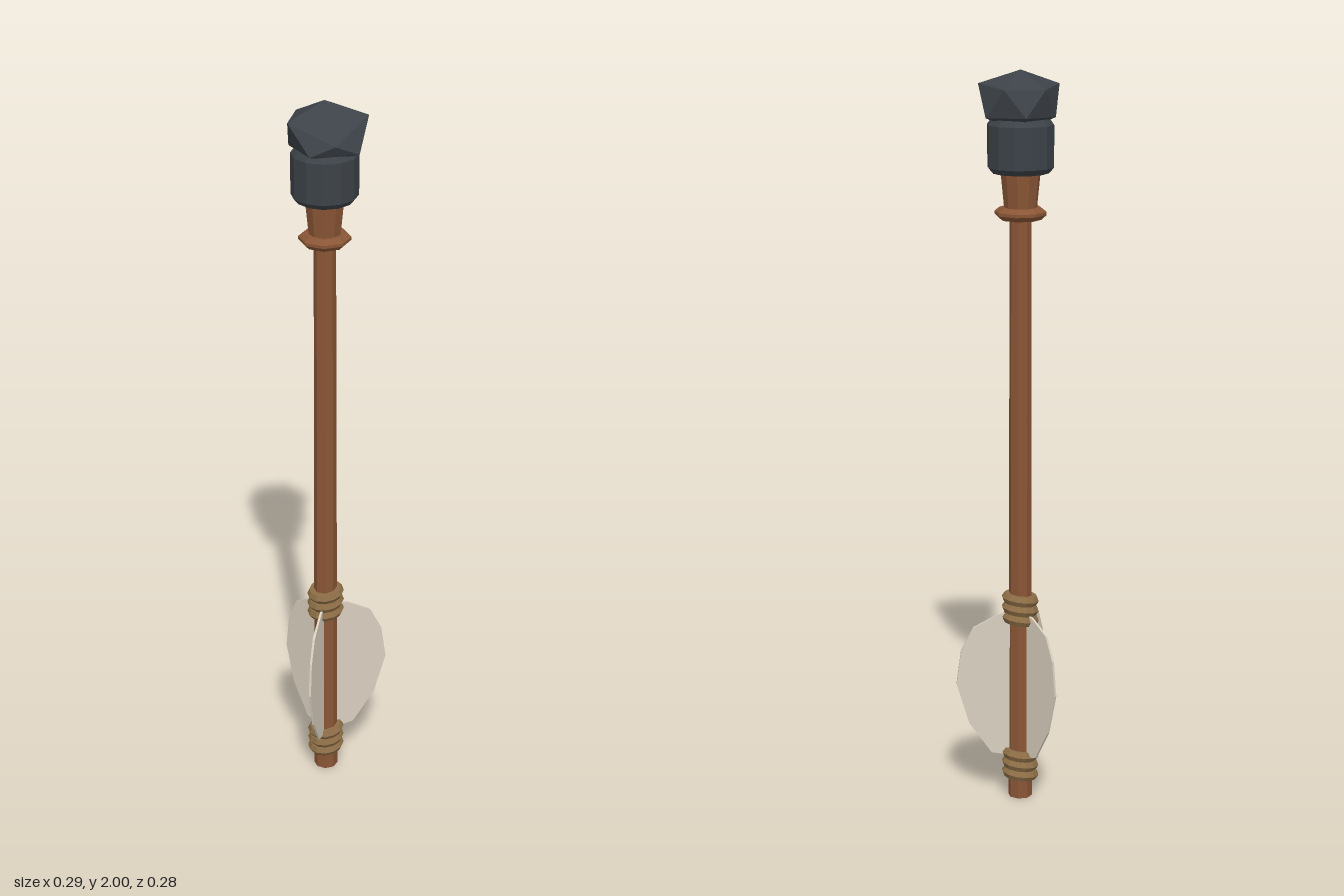
import * as THREE from 'three';

const flat = (color, name, side = THREE.FrontSide) => {
  const m = new THREE.MeshStandardMaterial({ color, flatShading: true, side });
  m.name = name;
  return m;
};

// Faceted stone: apex, two staggered rings of five corners, bottom point
function stoneGeometry() {
  const upper = [[0.112, 1.963], [0.091, 1.955], [0.093, 1.955], [0.112, 1.96], [0.103, 1.91]];
  const lower = [[0.1, 1.88], [0.102, 1.885], [0.092, 1.88], [0.108, 1.883], [0.112, 1.88]];
  const pos = [0, 2, 0];
  const ring = (pts, offset) => pts.forEach(([r, y], i) => {
    const a = THREE.MathUtils.degToRad(72 * i + offset);
    pos.push(r * Math.cos(a), y, -r * Math.sin(a));
  });
  ring(upper, 0);
  ring(lower, 36);
  pos.push(0, 1.84, 0);
  const index = [];
  for (let i = 0; i < 5; i++) {
    const u = 1 + i, u2 = 1 + (i + 1) % 5, l = u + 5, l2 = u2 + 5;
    index.push(0, u, u2, u, l, u2, l, l2, u2, 11, l2, l);
  }
  const g = new THREE.BufferGeometry();
  g.setAttribute('position', new THREE.Float32BufferAttribute(pos, 3));
  g.setIndex(index);
  const out = g.toNonIndexed();
  out.computeVertexNormals();
  return out;
}

export function createModel() {
  const wood = flat(0x8a5636, 'wood');
  const stone = flat(0x3c4248, 'dark stone');
  const cord = flat(0x8c6d46, 'cord');
  const vane = flat(0xd9cfbf, 'feather', THREE.DoubleSide);

  const model = new THREE.Group();
  model.name = 'arrow';
  const axis = new THREE.Group();
  axis.name = 'arrowParts';
  axis.position.set(-0.03, 0, -0.03);
  model.add(axis);

  const add = (geometry, material, name) => {
    const mesh = new THREE.Mesh(geometry, material);
    mesh.name = name;
    axis.add(mesh);
    return mesh;
  };
  const lathe = (points, sides) =>
    new THREE.LatheGeometry(points.map(p => new THREE.Vector2(...p)), sides);

  // Shaft, guard ring and flared socket
  add(new THREE.CylinderGeometry(0.029, 0.033, 1.65, 8), wood, 'shaft').position.y = 0.825;
  add(lathe([[0, 1.613], [0.055, 1.613], [0.069, 1.626], [0.069, 1.634], [0.055, 1.645], [0, 1.645]], 8),
    wood, 'guardRing');
  add(new THREE.CylinderGeometry(0.054, 0.042, 0.12, 10), wood, 'socket').position.y = 1.69;

  // Bevelled collar and blunt stone tip
  add(lathe([[0, 1.735], [0.075, 1.735], [0.088, 1.75], [0.088, 1.86], [0.077, 1.875], [0, 1.875]], 12),
    stone, 'collar');
  add(stoneGeometry(), stone, 'stoneTip');

  // Cord bindings: three tilted loops at each end of the feathers
  for (const [y, name] of [[0.545, 'upperBinding'], [0.095, 'lowerBinding']]) {
    for (let i = -1; i <= 1; i++) {
      const loop = add(new THREE.TorusGeometry(0.036, 0.0155, 6, 12), cord, name);
      loop.position.y = y + i * 0.028;
      loop.rotation.set(Math.PI / 2 + 0.08, 0.12, 0);
    }
  }

  // Three feathers spaced evenly around the shaft
  const outline = [[0.01, 0.54], [0.062, 0.53], [0.13, 0.495], [0.163, 0.43],
    [0.176, 0.335], [0.142, 0.22], [0.08, 0.13], [0.01, 0.115]];
  const shape = new THREE.Shape(outline.map(p => new THREE.Vector2(...p)));
  const vaneGeometry = new THREE.ExtrudeGeometry(shape, { depth: 0.006, bevelEnabled: false });
  vaneGeometry.translate(0, 0, -0.003);
  [[102, 1], [222, 0.88], [342, 1]].forEach(([deg, width]) => {
    const feather = add(vaneGeometry, vane, 'feather');
    feather.rotation.y = -THREE.MathUtils.degToRad(deg);
    feather.scale.x = width;
  });

  return model;
}
